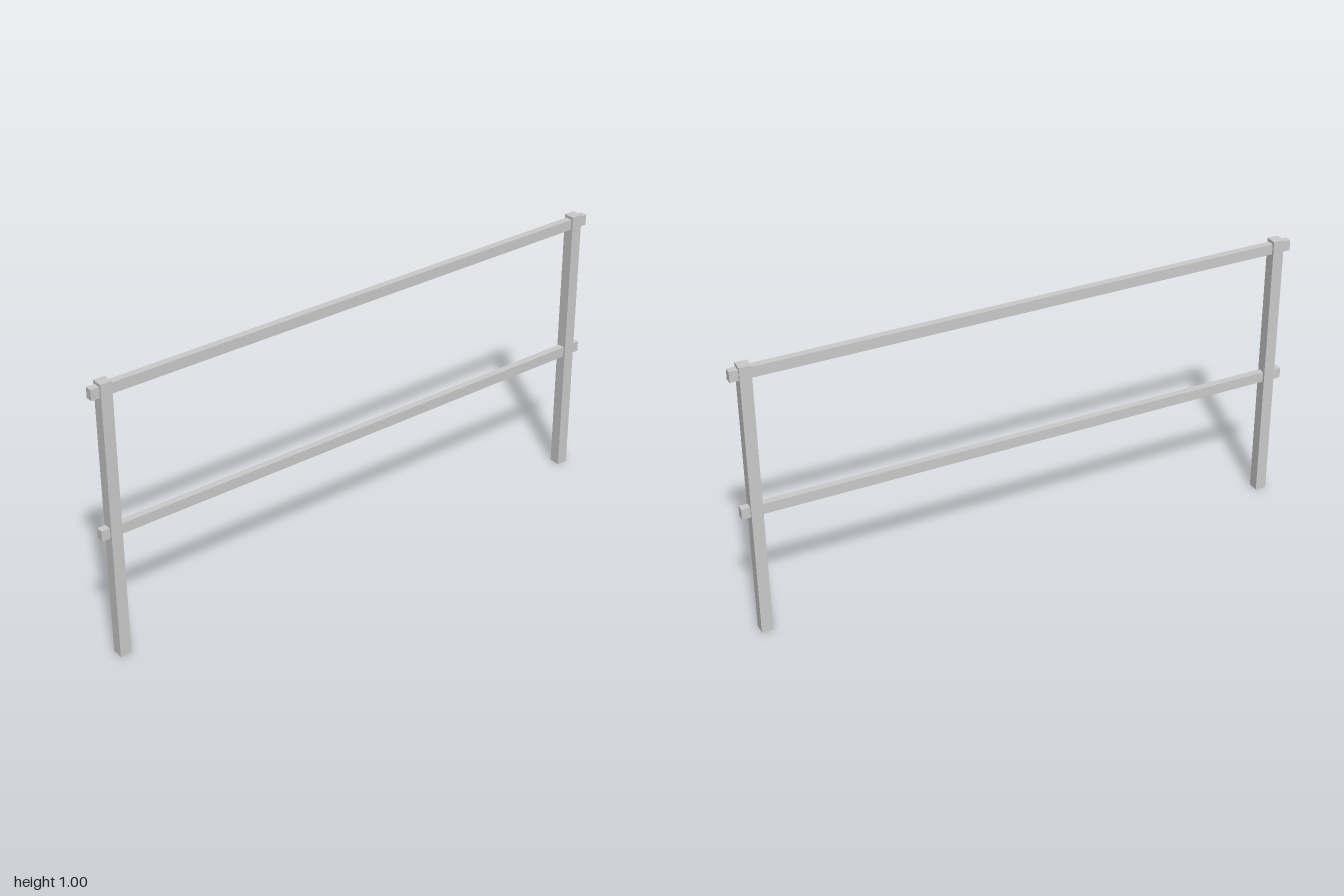
import * as THREE from 'three';

export function createModel() {
  const model = new THREE.Group();
  model.name = 'fence';
  const material = new THREE.MeshStandardMaterial({ color: 0xcccccc, flatShading: true });

  function addBeam(name, width, height, depth, x, y) {
    const beam = new THREE.Mesh(new THREE.BoxGeometry(width, height, depth), material);
    beam.name = name;
    beam.position.set(x, y, 0);
    model.add(beam);
  }

  // Square posts standing on the ground
  addBeam('leftPost', 0.04, 1, 0.04, 0.95, 0.5);
  addBeam('rightPost', 0.04, 1, 0.04, -0.95, 0.5);

  // Thinner rails running through the posts and out past them
  addBeam('topRail', 2, 0.0375, 0.025, 0, 0.971);
  addBeam('middleRail', 2, 0.0375, 0.025, 0, 0.471);

  return model;
}
